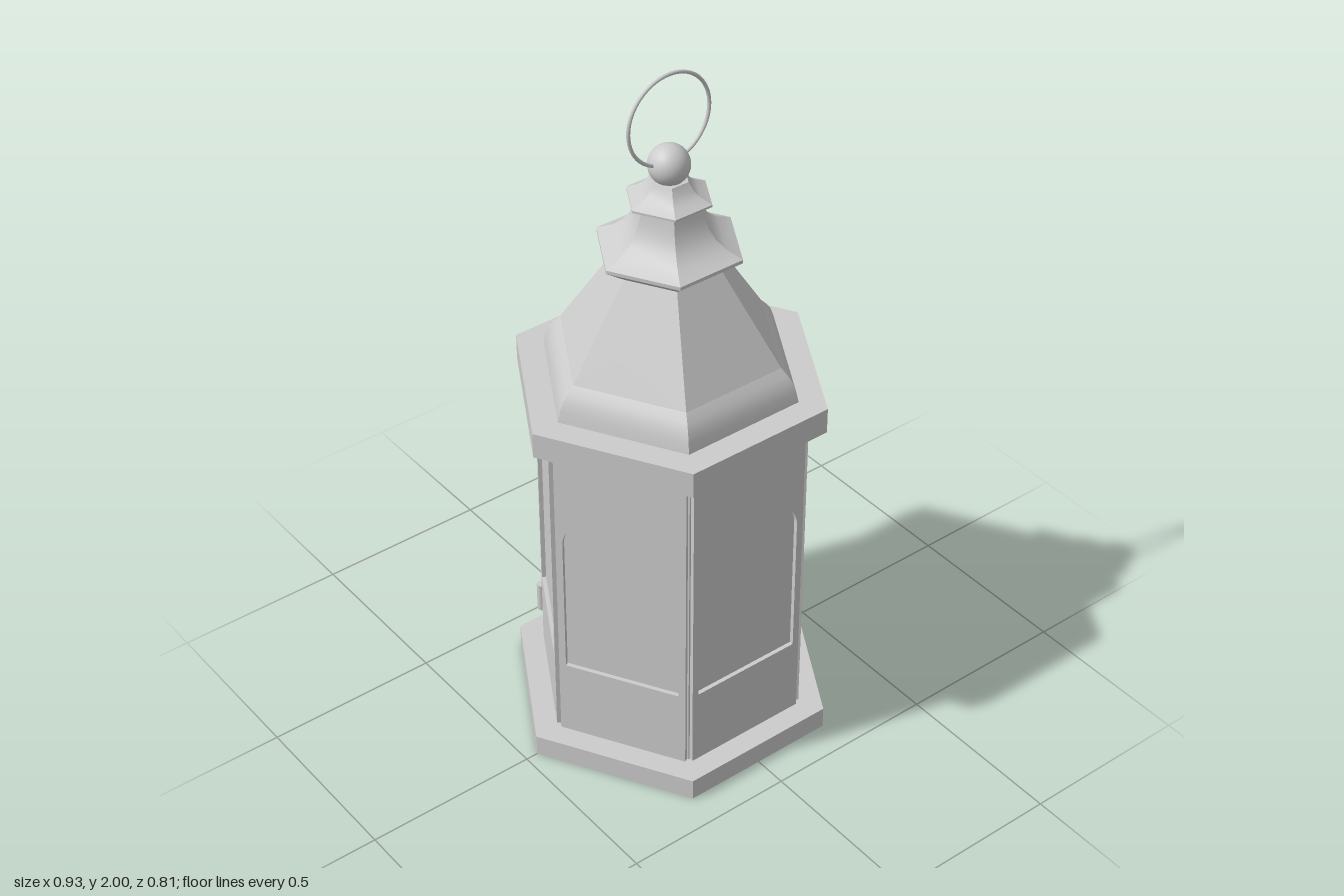
import * as THREE from 'three';
import { toCreasedNormals } from 'three/addons/utils/BufferGeometryUtils.js';

const HEX = Math.cos(Math.PI / 6); // apothem of a hexagon with radius 1

export function createModel() {
  const lantern = new THREE.Group();
  lantern.name = 'lantern';
  const solid = new THREE.MeshStandardMaterial({ color: 0xcccccc });
  const sheet = new THREE.MeshStandardMaterial({ color: 0xcccccc, side: THREE.DoubleSide });

  function add(name, geometry, material = solid) {
    const mesh = new THREE.Mesh(geometry, material);
    mesh.name = name;
    lantern.add(mesh);
    return mesh;
  }

  // Six-sided prism with corners on the x axis
  function hexPrism(name, radius, y0, y1) {
    const g = new THREE.CylinderGeometry(radius, radius, y1 - y0, 6, 1, false, Math.PI / 6);
    add(name, toCreasedNormals(g, 0.5)).position.y = (y0 + y1) / 2;
  }

  // Six-sided lathe from [radius, y] pairs, bottom to top
  function hexLathe(name, points) {
    const profile = points.map(([r, y]) => new THREE.Vector2(r, y));
    const g = new THREE.LatheGeometry(profile, 6, Math.PI / 6);
    add(name, toCreasedNormals(g, 0.45), sheet);
  }

  // Base, glazed core and top slab
  hexPrism('base', 0.465, 0, 0.065);
  hexPrism('glassCore', 0.379, 0.065, 1.03);
  hexPrism('topSlab', 0.44, 1.03, 1.105);

  // Arched window frame
  const frame = new THREE.Shape();
  frame.moveTo(-0.185, 0.065).lineTo(0.185, 0.065).lineTo(0.185, 1.03).lineTo(-0.185, 1.03).closePath();
  const arch = new THREE.Path();
  arch.moveTo(-0.165, 0.3).lineTo(0.165, 0.3).lineTo(0.165, 0.725);
  arch.absellipse(0, 0.725, 0.165, 0.113, 0, Math.PI, false);
  arch.closePath();
  frame.holes.push(arch);
  const frameGeometry = new THREE.ExtrudeGeometry(frame, { depth: 0.02, bevelEnabled: false, curveSegments: 24 });
  frameGeometry.translate(0, 0, 0.32);

  // Flat pierced roof face, drawn around the flower's centre and then tilted
  const rBottom = 0.31, rTop = 0.145, yBottom = 1.2, yTop = 1.455, yFlower = 1.3;
  const slope = (rBottom - rTop) / (yTop - yBottom);
  const tilt = Math.atan(slope * HEX);
  const along = (y) => (y - yFlower) / Math.cos(tilt);
  const face = new THREE.Shape();
  face.moveTo(-rBottom / 2, along(yBottom)).lineTo(rBottom / 2, along(yBottom));
  face.lineTo(rTop / 2, along(yTop)).lineTo(-rTop / 2, along(yTop)).closePath();
  function petal(distance, angle, length, width) {
    const p = new THREE.Path();
    p.absellipse(distance * Math.cos(angle), distance * Math.sin(angle),
      length / 2, width / 2, 0, Math.PI * 2, false, angle);
    face.holes.push(p);
  }
  petal(0, 0, 0.026, 0.026);
  for (let i = 0; i < 4; i++) {
    petal(0.072, i * Math.PI / 2, 0.072, 0.038);
    petal(0.055, (i + 0.5) * Math.PI / 2, 0.055, 0.021);
  }
  const faceGeometry = new THREE.ShapeGeometry(face, 12);
  faceGeometry.rotateX(-tilt);
  faceGeometry.translate(0, yFlower, (rTop + (yTop - yFlower) * slope) * HEX);

  // Repeat frames and roof faces around the six sides
  for (let i = 0; i < 6; i++) {
    const angle = i * Math.PI / 3;
    add('windowFrame', frameGeometry).rotation.y = angle;
    add('roofFace', faceGeometry, sheet).rotation.y = angle;
  }

  // Flared roof skirt, collar and cap
  hexLathe('roofSkirt', [[0.36, 1.105], [0.353, 1.135], [0.343, 1.16], [0.329, 1.18], [rBottom, yBottom]]);
  hexLathe('roofCollar', [
    [0.145, 1.455], [0.2, 1.495], [0.2, 1.505], [0.155, 1.525], [0.126, 1.548],
    [0.107, 1.575], [0.095, 1.605], [0.088, 1.635],
  ]);
  hexLathe('roofCap', [[0.085, 1.632], [0.116, 1.642], [0.116, 1.648], [0.085, 1.662], [0.066, 1.677], [0.052, 1.7], [0, 1.7]]);

  // Finial ball and carrying ring
  add('finialBall', new THREE.SphereGeometry(0.055, 32, 20)).position.y = 1.74;
  add('carryRing', new THREE.TorusGeometry(0.126, 0.005, 10, 64)).position.y = 1.869;

  // Door hinges on the back corner
  for (const y of [0.205, 0.875]) {
    const hinge = add('hinge', new THREE.CylinderGeometry(0.013, 0.013, 0.09, 16));
    hinge.position.set(-0.197, y, -0.34);
  }

  return lantern;
}
